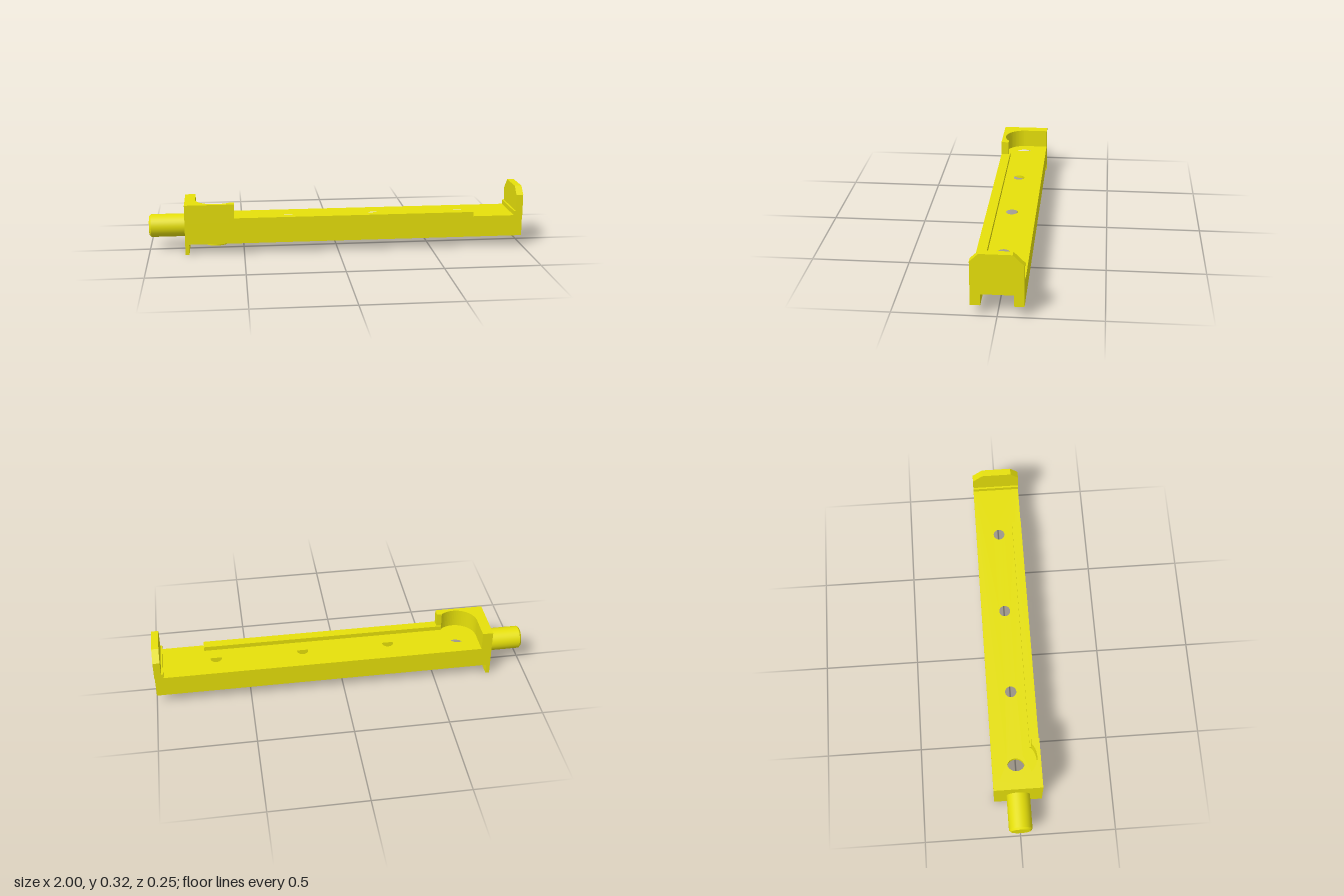
import * as THREE from 'three';

const W = 0.127;       // half width of the rail
const PIVOT = -0.645;  // x of the large hole
const material = new THREE.MeshStandardMaterial({ color: 0xe6e00a });

export function createModel() {
  const group = new THREE.Group();

  function add(name, geometry) {
    const mesh = new THREE.Mesh(geometry, material);
    mesh.name = name;
    group.add(mesh);
    return mesh;
  }

  // Shape from plan points given as [x, z]
  const plan = (pts) => new THREE.Shape(pts.map(([x, z]) => new THREE.Vector2(x, -z)));

  function drill(shape, x, r) {
    const hole = new THREE.Path();
    hole.absarc(x, 0, r, 0, Math.PI * 2, true);
    shape.holes.push(hole);
  }

  // Extrude a plan shape upward from y0 to y1
  function slab(name, shape, y0, y1) {
    const g = new THREE.ExtrudeGeometry(shape, { depth: y1 - y0, bevelEnabled: false, curveSegments: 24 });
    g.rotateX(-Math.PI / 2);
    g.translate(0, y0, 0);
    return add(name, g);
  }

  function box(name, x0, x1, y0, y1, z0, z1) {
    const g = new THREE.BoxGeometry(x1 - x0, y1 - y0, z1 - z0);
    g.translate((x0 + x1) / 2, (y0 + y1) / 2, (z0 + z1) / 2);
    return add(name, g);
  }

  // Deck with the row of through holes
  const deck = plan([[-0.81, -W], [0.997, -W], [0.997, W], [-0.81, W]]);
  drill(deck, PIVOT, 0.048);
  for (const x of [-0.26, 0.205, 0.67]) drill(deck, x, 0.03);
  slab('deck', deck, 0.113, 0.168);

  // Side rails and solid head below the deck, leaving a channel open at the far end
  const c = 0.078, end = -0.565;
  const rails = plan([[-0.81, -W], [0.997, -W], [0.997, -c], [end, -c], [end, c], [0.997, c], [0.997, W], [-0.81, W]]);
  drill(rails, PIVOT, 0.048);
  slab('sideRails', rails, 0.055, 0.113);

  // Head wall curling around the round pocket, open to the back
  const pocket = [];
  for (let i = 0; i <= 24; i++) {
    const a = Math.PI - (i / 24) * Math.PI * 0.715;
    pocket.push([PIVOT + 0.109 * Math.cos(a), 0.109 * Math.sin(a)]);
  }
  slab('headWall', plan([[-0.81, -W], [PIVOT - 0.109, -W], ...pocket, [-0.55, 0.085], [-0.55, W], [-0.81, W]]), 0.168, 0.267);

  // Raised lip along the front edge
  box('frontLip', -0.575, 0.73, 0.168, 0.192, 0.077, W);

  // End plate with clipped top corners
  const profile = [[W, 0.168], [W, 0.28], [0.085, 0.321], [-0.073, 0.321], [-W, 0.267], [-W, 0.168]];
  const plate = new THREE.ExtrudeGeometry(
    new THREE.Shape(profile.map(([z, y]) => new THREE.Vector2(-z, y))),
    { depth: 0.037, bevelEnabled: false });
  plate.rotateY(Math.PI / 2);
  plate.translate(0.962, 0, 0);
  add('endPlate', plate);
  box('plateFoot', 0.952, 0.962, 0.168, 0.192, -W, W);

  // Flange hanging below the head
  box('headFlange', -0.81, -0.789, 0, 0.055, -W, W);

  // Ring boss under the large hole
  const ring = new THREE.Shape();
  ring.absarc(PIVOT, 0, 0.065, 0, Math.PI * 2, false);
  drill(ring, PIVOT, 0.048);
  slab('ringBoss', ring, 0.028, 0.055);

  // Round stub with a chamfered tip
  const stubLength = 0.19, r = 0.061;
  const body = new THREE.CylinderGeometry(r, r, stubLength - 0.01, 40, 1, true);
  body.rotateZ(Math.PI / 2);
  body.translate(-0.81 - (stubLength - 0.01) / 2, 0.131, 0);
  add('stub', body);
  const tip = new THREE.CylinderGeometry(r - 0.01, r, 0.01, 40);
  tip.rotateZ(Math.PI / 2);
  tip.translate(-0.995, 0.131, 0);
  add('stubTip', tip);

  return group;
}
